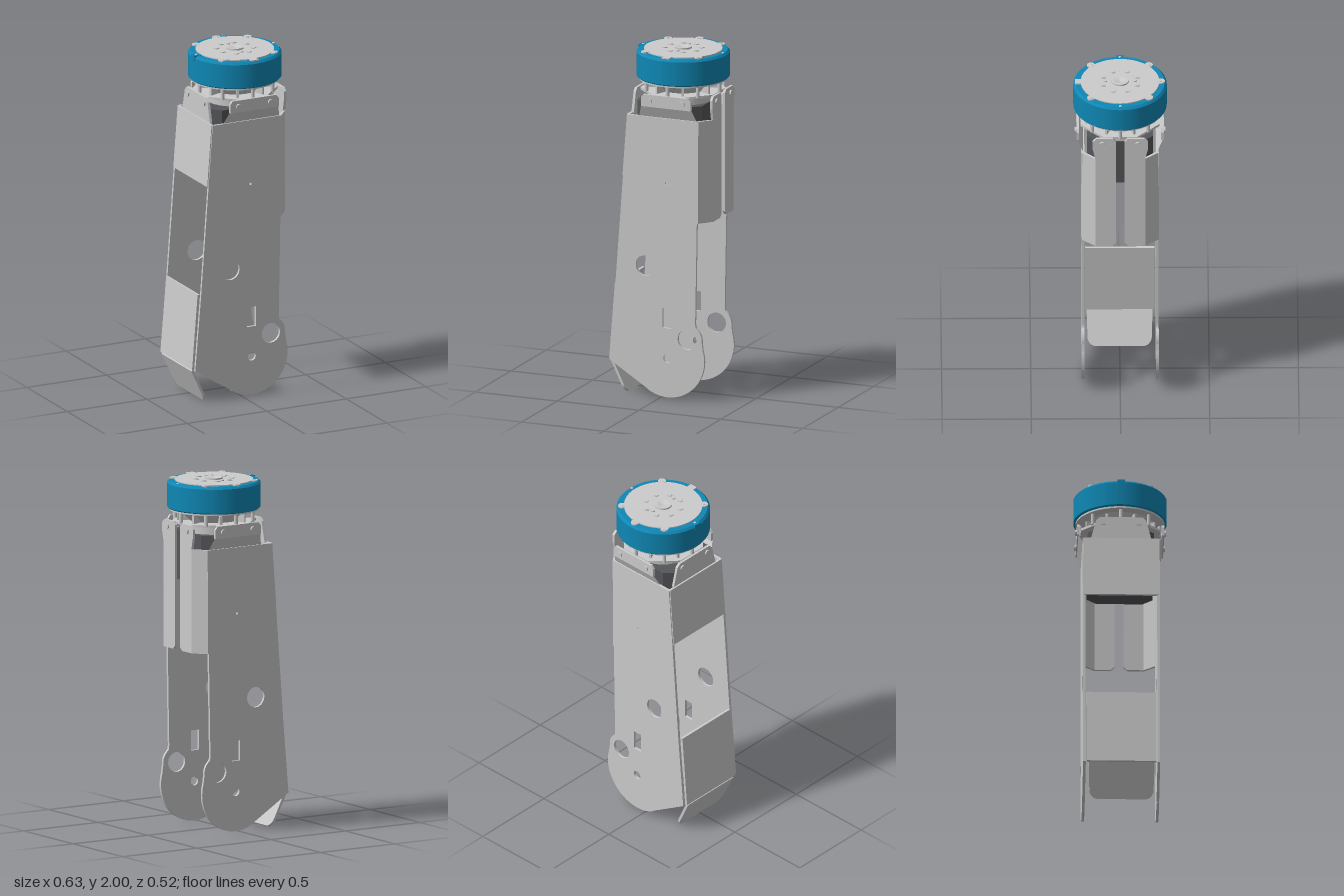
import * as THREE from 'three';

const grey = new THREE.MeshStandardMaterial({ color: 0xcccccc, side: THREE.DoubleSide });
const blue = new THREE.MeshStandardMaterial({ color: 0x0f87b4 });
const dark = new THREE.MeshStandardMaterial({ color: 0x55565a });
const CX = 0.053; // axis of the round head
const T = 0.015;  // sheet thickness

export function createModel() {
  const model = new THREE.Group();

  const add = (name, geo, mat = grey, x = 0, y = 0, z = 0) => {
    const m = new THREE.Mesh(geo, mat);
    m.name = name;
    m.position.set(x, y, z);
    model.add(m);
    return m;
  };
  const poly = pts => new THREE.Shape(pts.map(p => new THREE.Vector2(...p)));
  const circle = (x, y, r) => new THREE.Path().absarc(x, y, r, 0, Math.PI * 2, true);
  const extrude = (shape, depth) =>
    new THREE.ExtrudeGeometry(shape, { depth, bevelEnabled: false, curveSegments: 32 });
  // sheet whose outline is given as (z, y) and whose thickness runs towards -x
  const sheetX = shape => extrude(shape, T).rotateY(-Math.PI / 2);
  const disc = (name, r, y0, y1, x = 0, z = 0, mat = grey, seg = 32, rBottom = r) =>
    add(name, new THREE.CylinderGeometry(r, rBottom, y1 - y0, seg), mat, CX + x, (y0 + y1) / 2, z);

  // side plates with rounded lower ends and cut-outs
  const side = new THREE.Shape();
  side.moveTo(-0.195, 1.63);
  side.lineTo(-0.268, 0.64);
  side.lineTo(-0.305, 0.2);
  side.lineTo(-0.075, 0.055);
  side.absarc(0.05, 0.24, 0.225, -2.165, 0.28, false);
  side.absarc(0.17, 0.36, 0.09, -0.1, 0.9, false);
  side.quadraticCurveTo(0.218, 0.44, 0.22, 0.48);
  side.lineTo(0.24, 1.63);
  side.holes.push(
    circle(-0.085, 0.765, 0.058), circle(0.17, 0.36, 0.057),
    circle(0.05, 0.24, 0.025), circle(0.042, 1.255, 0.007),
    poly([[0.02, 0.415], [0.02, 0.53], [0.075, 0.53], [0.075, 0.415]]));
  const sideGeo = extrude(side, T);

  // joggled mounting tabs above the side plates: slanted part and upright part
  const slant = new THREE.BufferGeometry();
  slant.setAttribute('position', new THREE.Float32BufferAttribute([
    -0.125, 1.63, 0.208, 0.225, 1.63, 0.208, 0.205, 1.7, 0.24, -0.1, 1.7, 0.24], 3));
  slant.setIndex([0, 1, 2, 0, 2, 3]);
  slant.computeVertexNormals();
  const upright = extrude(poly([[-0.1, 1.695], [0.205, 1.695], [0.205, 1.745],
    [0.19, 1.765], [-0.085, 1.765], [-0.1, 1.745]]), T);

  for (const s of [1, -1]) {
    add('sidePlate', sideGeo, grey, 0, 0, s > 0 ? 0.201 : -0.216);
    const bend = add('sideTabBend', slant);
    bend.scale.z = s;
    add('sideTab', upright, grey, 0, 0, s > 0 ? 0.23 : -0.245);
    for (const x of [-0.1, 0.1]) {
      const screw = disc('sideScrew', 0.016, 0, 0.012, x, s * 0.249, grey, 16);
      screw.position.y = 1.73;
      screw.rotation.x = Math.PI / 2;
    }

    // slotted channel on the +x side: flat flange with tab, and chamfered corner
    add('channelFlange', sheetX(poly([[0.14, 1.04], [0.045, 1.04], [0.025, 1.06],
      [0.025, 1.745], [0.04, 1.765], [0.135, 1.765], [0.155, 1.745], [0.155, 1.695],
      [0.14, 1.63]].map(([z, y]) => [s * z, y]))), grey, 0.298);
    const corner = poly([[0.225, 0.216], [0.236, 0.216], [0.298, 0.14], [0.283, 0.138],
      [0.228, 0.201]].map(([x, z]) => [x, s * z]));
    add('channelCorner', extrude(corner, 0.59).rotateX(-Math.PI / 2), grey, 0, 1.04);
    for (const x of [0.301, -0.192]) {
      const screw = add('endScrew', new THREE.CylinderGeometry(0.016, 0.016, 0.012, 16),
        grey, x, 1.73, s * 0.1);
      screw.rotation.z = Math.PI / 2;
    }
  }

  // back panels: each hangs from its top point and leans along the sloping edge
  const panel = (name, [x0, y0], [x1, y1], outline) => {
    const len = Math.hypot(x1 - x0, y1 - y0);
    const m = add(name, sheetX(poly(outline(len))), grey, x0, y0);
    m.rotation.z = Math.atan2(x1 - x0, y0 - y1);
  };
  const rect = w => l => [[-w, 0], [-w, -l], [w, -l], [w, 0]];
  panel('upperBackPanel', [-0.185, 1.63], [-0.212, 1.27], rect(0.21));
  panel('lowerBackPanel', [-0.265, 0.64], [-0.3, 0.2], rect(0.195));
  panel('backLip', [-0.3, 0.2], [-0.212, 0.01], l => {
    const pts = [[-0.185, 0], [0.185, 0]];
    for (let i = 0; i <= 12; i++) { // two rounded lower corners
      const a = (i <= 6 ? i : i - 1) * Math.PI / 11;
      pts.push([(i <= 6 ? 0.13 : -0.13) + 0.05 * Math.cos(a), -l + 0.05 - 0.05 * Math.sin(a)]);
    }
    return pts;
  });
  add('backTab', sheetX(poly([[-0.17, 1.63], [0.17, 1.63], [0.14, 1.745], [0.12, 1.765],
    [-0.12, 1.765], [-0.14, 1.745]])), grey, -0.175);

  // drive body inside the housing, with cut corners
  const body = poly([[-0.17, -0.13], [-0.12, -0.185], [0.17, -0.185], [0.225, -0.13],
    [0.225, 0.13], [0.17, 0.185], [-0.12, 0.185], [-0.17, 0.13]]);
  add('driveBody', extrude(body, 0.28).rotateX(-Math.PI / 2), dark, 0, 1.42);

  // neck: frame, tapered core, flange, ribs and standoffs
  const frame = disc('neckFrame', 0.24, 1.748, 1.762, 0, 0, grey, 8);
  frame.rotation.y = Math.PI / 8;
  disc('neckBase', 0.17, 1.7, 1.75);
  disc('neckCore', 0.2, 1.76, 1.825, 0, 0, grey, 32, 0.14);
  disc('neckFlange', 0.25, 1.82, 1.832, 0, 0, grey, 64);
  for (let i = 0; i < 8; i++) {
    const a = i * Math.PI / 4;
    disc('standoff', 0.011, 1.755, 1.825, 0.222 * Math.cos(a), 0.222 * Math.sin(a), grey, 12);
    const rib = add('neckRib', new THREE.BoxGeometry(0.08, 0.05, 0.012), grey,
      CX + 0.17 * Math.cos(a + 0.39), 1.785, 0.17 * Math.sin(a + 0.39));
    rib.rotation.y = -a - 0.39;
  }

  // blue ring around the head
  const ringProfile = [[0.21, 1.83], [0.256, 1.83], [0.262, 1.836], [0.262, 1.972],
    [0.25, 1.985], [0.21, 1.985], [0.21, 1.83]].map(p => new THREE.Vector2(...p));
  const ringGeo = new THREE.LatheGeometry(ringProfile, 96).toNonIndexed();
  ringGeo.computeVertexNormals();
  add('headRing', ringGeo, blue, CX);
  add('ringKey', new THREE.BoxGeometry(0.046, 0.03, 0.042), blue, -0.188, 1.972, 0);
  disc('keyPin', 0.007, 1.98, 1.99, -0.243, 0, grey, 12);
  disc('ringPin', 0.008, 1.98, 1.988, 0.242, 0, grey, 12);

  // output disc with pointer, bolt circle and centre hub
  disc('outputDisc', 0.22, 1.835, 1.991, 0, 0, grey, 96);
  add('discPointer', new THREE.BoxGeometry(0.046, 0.01, 0.05), grey, CX, 1.986, 0.226);
  for (let i = 0; i < 8; i++) {
    const a = (i + 0.5) * Math.PI / 4, x = 0.103 * Math.cos(a), z = 0.103 * Math.sin(a);
    disc('boltRim', 0.018, 1.99, 1.994, x, z, grey, 24);
    disc('bolt', 0.013, 1.99, 1.996, x, z, grey, 24);
  }
  for (const z of [-0.083, 0.083]) disc('locatingPin', 0.011, 1.99, 1.997, 0, z, grey, 16);
  const hub = [[0.05, 1.99], [0.05, 2], [0.036, 2], [0, 1.993]].map(p => new THREE.Vector2(...p));
  const hubGeo = new THREE.LatheGeometry(hub, 48).toNonIndexed();
  hubGeo.computeVertexNormals();
  add('centreHub', hubGeo, grey, CX);

  // screws holding the ring
  for (const [x, z] of [[-0.162, -0.162], [0.162, -0.162], [-0.162, 0.162], [0.162, 0.162], [0, -0.23]]) {
    disc('ringScrew', 0.023, 1.97, 1.992, x, z, grey, 24);
    disc('screwSocket', 0.011, 1.99, 1.9935, x, z, grey, 6);
  }
  return model;
}
